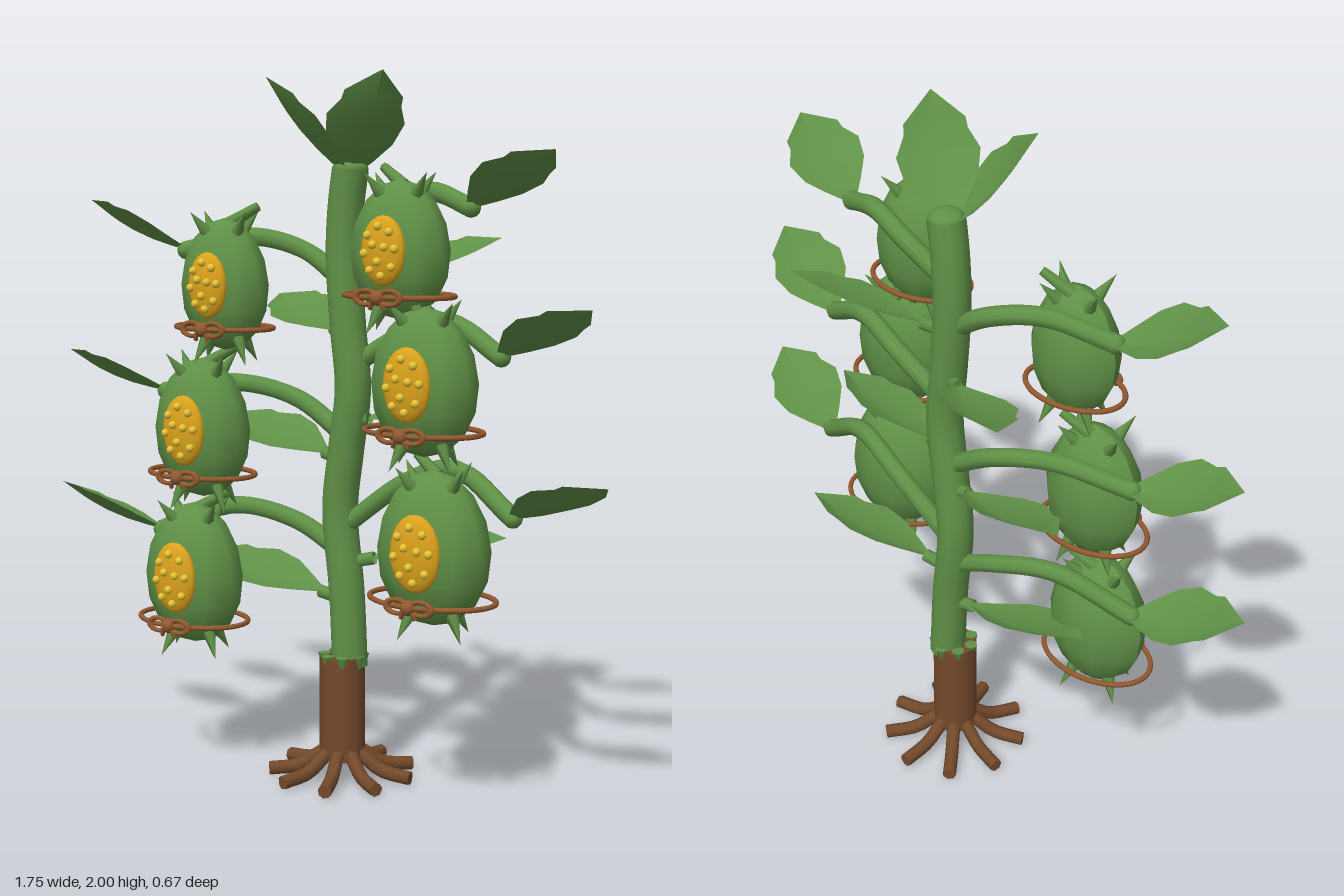
import * as THREE from 'three';

const V = (x, y, z) => new THREE.Vector3(x, y, z);
const paint = (name, color) => Object.assign(new THREE.MeshStandardMaterial({ color, side: THREE.DoubleSide }), { name });
const MAT = {
  green: paint('plant green', 0x609147),
  bark: paint('bark brown', 0x744a2b),
  rope: paint('rope brown', 0x93592f),
  patch: paint('seed patch gold', 0xdca31c),
  seed: paint('seed yellow', 0xf0cc38),
};

function add(parent, name, geometry, material, position) {
  const mesh = new THREE.Mesh(geometry, material);
  mesh.name = name;
  if (position) mesh.position.copy(position);
  parent.add(mesh);
  return mesh;
}

const tube = (points, radius, steps = 16, sides = 8) =>
  new THREE.TubeGeometry(new THREE.CatmullRomCurve3(points), steps, radius, sides);

// Cone with its foot at p, pointing along dir
function spike(parent, name, p, dir, radius, length, tipRadius = 0) {
  const g = new THREE.CylinderGeometry(tipRadius, radius, length, 6).translate(0, length / 2, 0);
  const m = add(parent, name, g, MAT.green, p);
  m.quaternion.setFromUnitVectors(V(0, 1, 0), dir.clone().normalize());
}

// Folded leaf blade in rows of left edge, midrib, right edge; a positive roll lifts the front edge
function leaf(parent, name, base, tip, halfWidth, roll) {
  const dir = tip.clone().sub(base);
  const side = dir.clone().cross(V(0, 1, 0)).normalize()
    .applyAxisAngle(dir.clone().normalize(), -Math.sign(dir.x) * roll);
  const up = side.clone().cross(dir).normalize();
  const rows = [[0, 0.15], [0.15, 0.5], [0.32, 0.86], [0.52, 1], [0.68, 0.76], [0.76, 0.74], [1, 0.01]];
  const pos = [], index = [];
  rows.forEach(([t, w], i) => {
    for (const s of [-1, 0, 1]) {
      const lift = Math.sin(t * Math.PI) * -0.02 + Math.abs(s) * w * 0.035;
      const p = base.clone().addScaledVector(dir, t)
        .addScaledVector(side, s * w * halfWidth).addScaledVector(up, lift);
      pos.push(p.x, p.y, p.z);
    }
    if (i) for (const k of [0, 1]) {
      const a = (i - 1) * 3 + k, b = i * 3 + k;
      index.push(a, a + 1, b, a + 1, b + 1, b);
    }
  });
  const g = new THREE.BufferGeometry();
  g.setAttribute('position', new THREE.Float32BufferAttribute(pos, 3));
  g.setIndex(index);
  g.computeVertexNormals();
  add(parent, name, g, MAT.green);
}

// Spiny pod with a seed patch and a rope tied in a bow
function pod(parent, center, hw, hh) {
  const g = new THREE.Group();
  g.name = 'pod';
  g.position.copy(center);
  g.rotation.y = 0.17;
  parent.add(g);
  const a = hw * 1.02, b = hw * 0.72;

  const body = new THREE.SphereGeometry(1, 11, 8);
  const p = body.attributes.position;
  for (let i = 0; i < p.count; i++) {
    const y = p.getY(i), k = 1 - 0.05 * y;
    p.setXYZ(i, p.getX(i) * k * a, y * hh, p.getZ(i) * k * b);
  }
  body.computeVertexNormals();
  add(g, 'podBody', body, MAT.green);

  // Spines around the crown and the underside, and a stub leaning to the stem
  for (let i = 0; i < 4; i++) {
    const t = i * Math.PI / 2 + 0.5, c = Math.cos(t), s = Math.sin(t);
    spike(g, 'crownSpine', V(c * a * 0.5, hh * 0.8, s * b * 0.5), V(c, 1.1, s), 0.018, 0.075);
    spike(g, 'lowerSpine', V(c * a * 0.5, -hh * 0.8, s * b * 0.5), V(c * 0.6, -1, s * 0.6), 0.02, 0.085);
  }
  spike(g, 'podStub', V(0, hh * 0.9, -b * 0.2), V(-Math.sign(center.x) * 0.8, 0.5, -0.3), 0.02, 0.1, 0.013);

  // Seed patch and its seeds
  const px = hw * 0.47, py = hh * 0.5, pz = b * 0.86;
  add(g, 'seedPatch', new THREE.SphereGeometry(1, 18, 12).scale(px, py, 0.028), MAT.patch, V(0, 0, pz));
  const seedGeo = new THREE.SphereGeometry(0.0115, 10, 8);
  for (const [n, r, o] of [[3, 0.3, 0.4], [8, 0.7, 0.1]]) {
    for (let i = 0; i < n; i++) {
      const t = o + i * 2 * Math.PI / n;
      add(g, 'seed', seedGeo, MAT.seed,
        V(Math.cos(t) * r * px, Math.sin(t) * r * py, pz + 0.031 * Math.sqrt(1 - r * r)));
    }
  }

  // Rope ring and bow
  const ry = -hh * 0.65, rz = hw * 0.8;
  const ring = [];
  for (let i = 0; i < 24; i++) {
    const t = i * Math.PI / 12;
    ring.push(V(Math.cos(t) * a * 1.1, ry, Math.sin(t) * rz + 0.004));
  }
  add(g, 'ropeRing', new THREE.TubeGeometry(new THREE.CatmullRomCurve3(ring, true), 48, 0.0075, 8, true), MAT.rope);
  add(g, 'ropeKnot', new THREE.SphereGeometry(0.021, 12, 8), MAT.rope, V(0, ry, rz + 0.006));
  for (const s of [-1, 1]) {
    const loop = new THREE.TorusGeometry(0.022, 0.0075, 8, 18).scale(1.4, 0.85, 1);
    add(g, 'bowLoop', loop, MAT.rope, V(s * 0.036, ry, rz + 0.004));
    add(g, 'bowTail', tube([V(0, ry, rz + 0.006), V(s * 0.014, ry - 0.014, rz + 0.01), V(s * 0.022, ry - 0.03, rz + 0.006)], 0.006, 6, 6), MAT.rope);
  }
}

export function createModel() {
  const model = new THREE.Group();
  model.name = 'podPlant';

  // Woody foot and roots
  add(model, 'trunk', new THREE.CylinderGeometry(0.065, 0.066, 0.3, 14), MAT.bark, V(-0.028, 0.21, -0.03));
  for (let i = 0; i < 9; i++) {
    const t = i * Math.PI / 4.5 + 1.08, c = Math.cos(t), s = Math.sin(t);
    const at = (r, y) => V(-0.028 + c * r, y, -0.03 + s * r);
    add(model, 'root', tube([at(0.01, 0.1), at(0.06, 0.075), at(0.12, 0.035), at(0.21, 0.022)], 0.02, 8, 7), MAT.bark);
    const end = add(model, 'rootEnd', new THREE.CircleGeometry(0.02, 7), MAT.bark, at(0.21, 0.022));
    end.rotation.y = Math.PI / 2 - t;
  }

  // Wavy stem with a ragged collar
  const stem = [[-0.012, 0.33], [-0.025, 0.55], [-0.05, 0.78], [-0.028, 0.95], [-0.002, 1.13],
    [-0.02, 1.3], [-0.036, 1.5], [-0.028, 1.64], [-0.012, 1.74]].map(([x, y]) => V(x, y, -0.045));
  add(model, 'stem', tube(stem, 0.052, 48, 12), MAT.green);
  add(model, 'stemCap', new THREE.SphereGeometry(0.052, 12, 8).scale(1, 0.6, 1), MAT.green, stem[8]);
  for (let i = 0; i < 7; i++) {
    const t = i * Math.PI * 2 / 7;
    spike(model, 'collarTooth', V(-0.026 + Math.cos(t) * 0.055, 0.365, -0.032 + Math.sin(t) * 0.055), V(0, -1, 0), 0.02, 0.06);
  }

  // Crown leaves
  leaf(model, 'crownLeaf', V(-0.01, 1.72, -0.04), V(0.195, 2, 0.06), 0.11, 0.2);
  leaf(model, 'crownLeaf', V(-0.01, 1.72, -0.03), V(-0.175, 1.99, 0.12), 0.11, 0.2);

  // Each tier: pod centre and size, branch start and peak heights, outer leaf, lower leaf
  const tiers = [
    { c: [-0.3, 1.42, 0.16], hw: 0.133, hh: 0.185, y0: 1.42, peak: 1.55, base: [-0.465, 1.51, 0.15], tip: [-0.745, 1.65, 0.26], ly: 1.27, low: [-0.44, 1.37, -0.21] },
    { c: [-0.375, 1.01, 0.18], hw: 0.147, hh: 0.2, y0: 0.99, peak: 1.13, base: [-0.545, 1.1, 0.16], tip: [-0.84, 1.21, 0.27], ly: 0.92, low: [-0.5, 1.02, -0.05] },
    { c: [-0.405, 0.585, 0.19], hw: 0.152, hh: 0.205, y0: 0.65, peak: 0.77, base: [-0.56, 0.69, 0.17], tip: [-0.875, 0.81, 0.28], ly: 0.52, low: [-0.5, 0.62, 0.06] },
    { c: [0.27, 1.53, 0.075], hw: 0.14, hh: 0.185, y0: 1.56, peak: 1.68, base: [0.4, 1.64, -0.06], tip: [0.69, 1.79, -0.03], ly: 1.41, low: [0.3, 1.55, -0.33] },
    { c: [0.355, 1.185, 0.075], hw: 0.15, hh: 0.2, y0: 1.18, peak: 1.33, base: [0.505, 1.25, -0.06], tip: [0.81, 1.39, -0.03], ly: 1.03, low: [0.38, 1.13, -0.12] },
    { c: [0.39, 0.745, 0.075], hw: 0.16, hh: 0.21, y0: 0.74, peak: 0.93, base: [0.55, 0.825, -0.06], tip: [0.875, 0.945, -0.02], ly: 0.63, low: [0.41, 0.73, -0.22] },
  ];
  for (const t of tiers) {
    pod(model, V(...t.c), t.hw, t.hh);

    const start = V(-0.025, t.y0, -0.045), base = V(...t.base), tip = V(...t.tip);
    const p1 = start.clone().lerp(base, 0.32), p2 = start.clone().lerp(base, 0.64);
    p1.y = t.y0 + (t.peak - t.y0) * 0.72;
    p2.y = t.peak;
    p1.z -= 0.04;
    p2.z -= 0.03;
    add(model, 'branch', tube([start, p1, p2, base], 0.027, 20, 8), MAT.green);
    add(model, 'branchEnd', new THREE.SphereGeometry(0.027, 8, 6), MAT.green, base);
    leaf(model, 'outerLeaf', base, tip, 0.105, 0.3);

    const foot = V(-0.025, t.ly, -0.045), low = V(...t.low);
    const neck = foot.clone().lerp(low, 0.18);
    add(model, 'leafStalk', tube([foot, neck], 0.019, 4, 7), MAT.green);
    leaf(model, 'lowerLeaf', neck, low, 0.11, -0.25);
  }
  return model;
}
